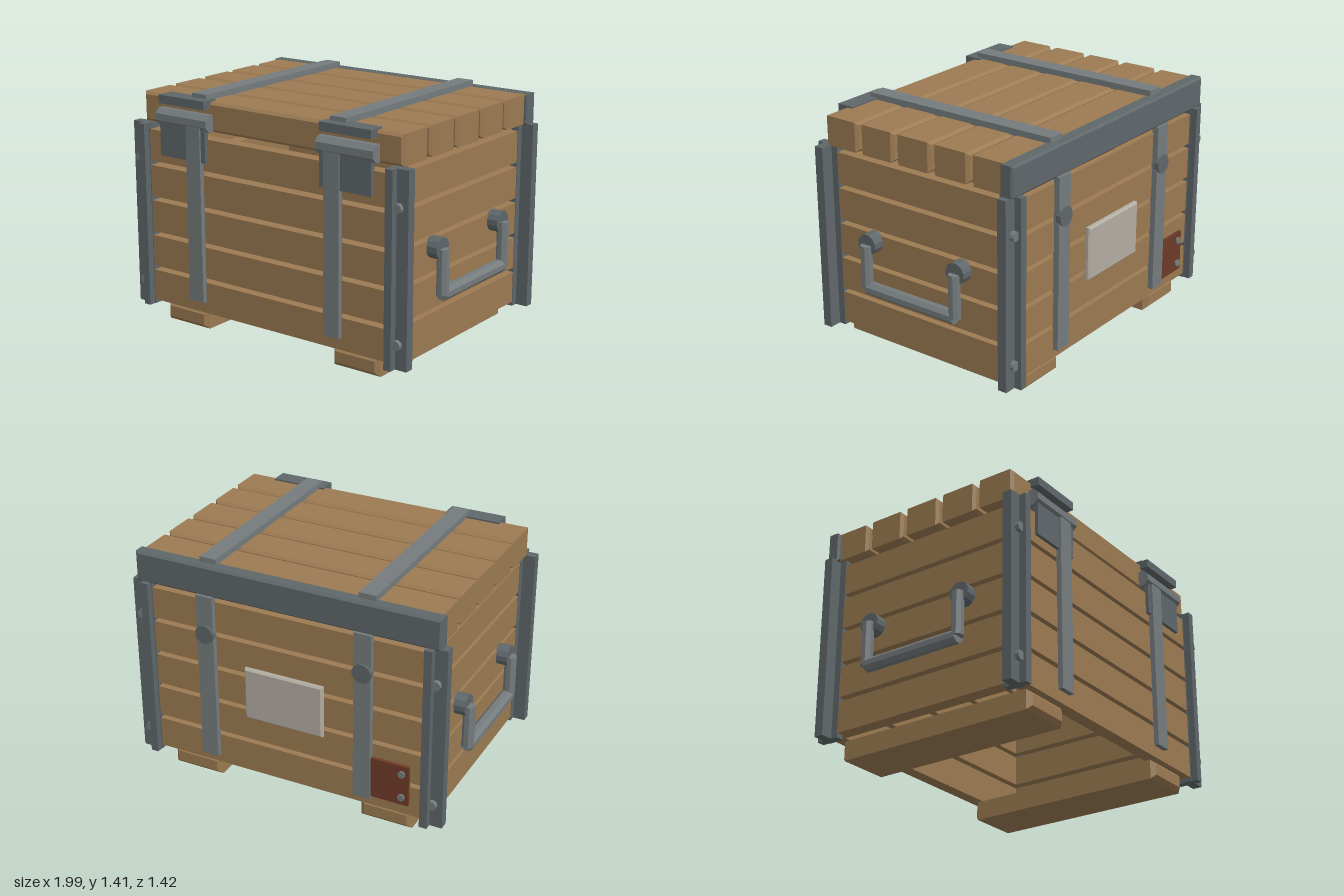
import * as THREE from 'three';

const mat = (color) => new THREE.MeshStandardMaterial({ color, flatShading: true });

export function createModel() {
  const root = new THREE.Group();
  const wood = mat(0x9c7b52);
  const steel = mat(0x5f676a);
  const lightSteel = mat(0x757c7e);
  const cream = mat(0xb3aea3);
  const rust = mat(0x6e3a27);

  const add = (name, geometry, material) => {
    const mesh = new THREE.Mesh(geometry, material);
    mesh.name = name;
    root.add(mesh);
    return mesh;
  };

  // Box given by its min/max on each axis
  const box = (name, material, [x0, x1], [y0, y1], [z0, z1]) => {
    const mesh = add(name, new THREE.BoxGeometry(Math.abs(x1 - x0), y1 - y0, z1 - z0), material);
    mesh.position.set((x0 + x1) / 2, (y0 + y1) / 2, (z0 + z1) / 2);
    return mesh;
  };

  // Box with every edge chamfered by b
  const chamferBox = (name, material, [x0, x1], [y0, y1], [z0, z1], b) => {
    const w = Math.abs(x1 - x0) / 2 - b, h = (y1 - y0) / 2 - b, d = z1 - z0 - 2 * b;
    const shape = new THREE.Shape([[-w, -h], [w, -h], [w, h], [-w, h]].map((p) => new THREE.Vector2(...p)));
    const geometry = new THREE.ExtrudeGeometry(shape, {
      depth: d, bevelEnabled: true, bevelSize: b, bevelThickness: b, bevelSegments: 1,
    }).translate(0, 0, -d / 2);
    const mesh = add(name, geometry, material);
    mesh.position.set((x0 + x1) / 2, (y0 + y1) / 2, (z0 + z1) / 2);
    return mesh;
  };

  // Cylinder along a chosen axis
  const rod = (name, material, axis, r, length, sides, x, y, z) => {
    const geometry = new THREE.CylinderGeometry(r, r, length, sides);
    geometry.rotateY(Math.PI / sides);
    if (axis === 'x') geometry.rotateZ(Math.PI / 2);
    if (axis === 'z') geometry.rotateX(Math.PI / 2);
    add(name, geometry, material).position.set(x, y, z);
  };

  // Slatted walls, with open gaps and an open bottom
  for (let i = 0; i < 5; i++) {
    const y = [0.115 + i * 0.215, 0.303 + i * 0.215];
    box('frontPlank', wood, [-0.855, 0.855], y, [0.585, 0.665]);
    box('backPlank', wood, [-0.855, 0.855], y, [-0.665, -0.585]);
    box('leftPlank', wood, [0.81, 0.893], y, [-0.585, 0.585]);
    box('rightPlank', wood, [-0.893, -0.81], y, [-0.585, 0.585]);
  }

  // Lid planks and rear rail
  for (let i = -2; i <= 2; i++) {
    const z = i * 0.2585;
    chamferBox('lidPlank', wood, [-0.912, 0.912], [1.2, 1.375], [z - 0.118, z + 0.118], 0.016);
  }
  chamferBox('lidRearRail', steel, [-0.935, 0.935], [1.195, 1.378], [-0.685, -0.6], 0.012);

  for (const s of [-1, 1]) {
    const strapX = [s * 0.437, s * 0.541];

    // Skids
    chamferBox('skid', wood, [s * 0.457, s * 0.772], [0, 0.115], [-0.645, 0.645], 0.025);

    // Lid, front and back straps
    box('lidStrap', lightSteel, strapX, [1.37, 1.41], [-0.637, 0.63]);
    box('frontStrap', lightSteel, strapX, [0.185, 1.235], [0.66, 0.695]);
    box('backStrap', lightSteel, strapX, [0.17, 1.2], [-0.698, -0.66]);
    rod('backStrapDisc', steel, 'z', 0.058, 0.03, 12, s * 0.489, 0.965, -0.695);

    // Latches
    box('latchTopPlate', steel, [s * 0.405, s * 0.745], [1.335, 1.385], [0.585, 0.69]);
    box('latchLowerPlate', steel, [s * 0.405, s * 0.745], [1.025, 1.235], [0.655, 0.685]);
    rod('latchBarrel', lightSteel, 'x', 0.053, 0.38, 8, s * 0.575, 1.255, 0.65);

    // Crossed-plate corner posts with bolts
    for (const t of [-1, 1]) {
      const zs = (a, b) => (t > 0 ? [a, b] : [-b, -a]);
      box('cornerPostFrontPlate', steel, [s * 0.845, s * 0.97], [0.09, 1.2], zs(0.612, 0.668));
      box('cornerPostSidePlate', steel, [s * 0.85, s * 0.896], [0.09, 1.2], zs(0.57, 0.71));
      for (const y of [0.235, 0.99]) {
        rod('cornerBolt', lightSteel, 'z', 0.028, 0.035, 10, s * 0.912, y, t * 0.675);
      }

      // Handle mounts and arms
      rod('handleMount', steel, 'x', 0.063, 0.075, 12, s * 0.922, 0.69, t * 0.315);
      rod('handleArm', lightSteel, 'y', 0.035, 0.26, 8, s * 0.963, 0.56, t * 0.315);
    }
    rod('handleGrip', lightSteel, 'x', 0.04, 0.63, 8, s * 0.958, 0.43, 0);
    root.children[root.children.length - 1].rotation.y = Math.PI / 2;
  }

  // Blank label plate and rust-red repair plate on the back
  chamferBox('labelPlate', cream, [-0.245, 0.245], [0.485, 0.805], [-0.697, -0.66], 0.01);
  box('repairPlate', rust, [-0.77, -0.53], [0.185, 0.435], [-0.685, -0.66]);
  for (const y of [0.235, 0.385]) {
    rod('repairPlateBolt', lightSteel, 'z', 0.022, 0.03, 8, -0.73, y, -0.682);
  }

  return root;
}
